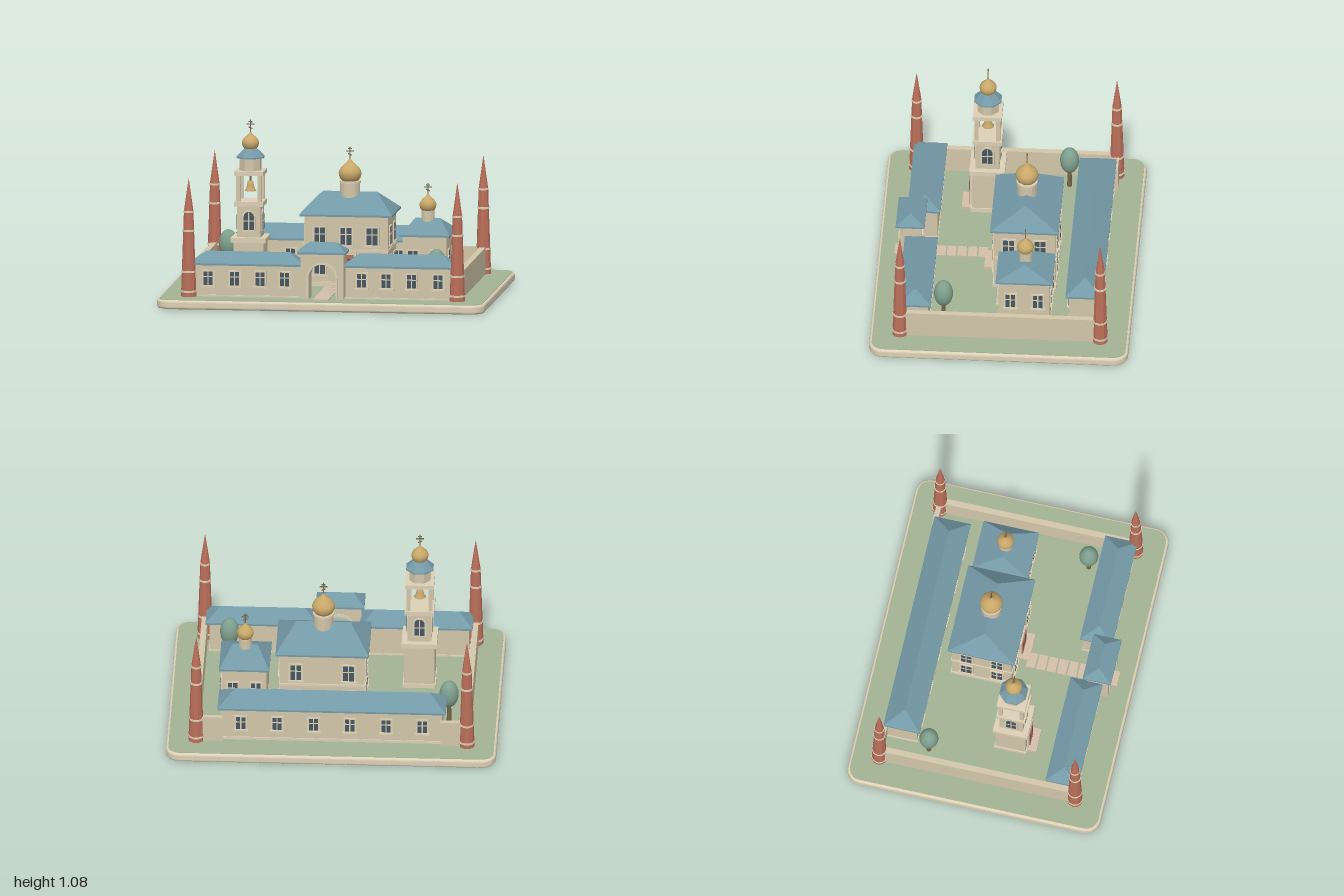
import * as THREE from 'three';

const mat = (name, color) => Object.assign(new THREE.MeshStandardMaterial({ color }), { name });
const M = {
  wall: mat('cream wall', 0xd2c6aa), trim: mat('pale trim', 0xdcd0b6), roof: mat('blue roof', 0x7499a6),
  grass: mat('grass', 0xa3b394), red: mat('red brick', 0xbb6f5a), gold: mat('gold', 0xc8a86a),
  glass: mat('dark glass', 0x46565f), leaf: mat('foliage', 0x7f9f8d), path: mat('path stone', 0xd3bfa8),
  iron: mat('dark bronze', 0x75664c),
};
const GROUND = 0.058;

function add(parent, name, geo, material, x = 0, y = 0, z = 0) {
  const mesh = new THREE.Mesh(geo, material);
  mesh.name = name;
  mesh.position.set(x, y, z);
  parent.add(mesh);
  return mesh;
}
// box given by its centre on the plan and its bottom and top heights
const box = (p, name, m, x, z, w, d, y0, y1) =>
  add(p, name, new THREE.BoxGeometry(w, y1 - y0, d), m, x, (y0 + y1) / 2, z);
function flat(geo) {
  const g = geo.index ? geo.toNonIndexed() : geo;
  g.computeVertexNormals();
  return g;
}
function prism(p, name, m, x, z, rTop, rBottom, y0, y1, sides) {
  const g = flat(new THREE.CylinderGeometry(rTop, rBottom, y1 - y0, sides).rotateY(Math.PI / sides));
  return add(p, name, g, m, x, (y0 + y1) / 2, z);
}
function group(parent, name, x = 0, z = 0) {
  const g = new THREE.Group();
  g.name = name;
  g.position.set(x, 0, z);
  parent.add(g);
  return g;
}

// hipped roof with a thin eave slab, ridge along x
function hipRoof(p, x, z, w, d, y0, y1, ridge) {
  const e = 0.012, a = w / 2, b = d / 2, h = y1 - y0 - e;
  box(p, 'eave', M.roof, x, z, w, d, y0, y0 + e);
  const A = [-a, 0, b], B = [a, 0, b], C = [a, 0, -b], D = [-a, 0, -b], R = [ridge, h, 0], L = [-ridge, h, 0];
  const g = new THREE.BufferGeometry();
  const pts = [A, B, R, A, R, L, C, D, L, C, L, R, B, C, R, D, A, L].flat();
  g.setAttribute('position', new THREE.Float32BufferAttribute(pts, 3));
  add(p, 'hipped roof', flat(g), M.roof, x, y0 + e, z);
}

// framed window facing +z, turned by angle about y
function windowUnit(p, x, y, z, angle, w = 0.068, h = 0.1) {
  const g = group(p, 'window', x, z);
  g.position.y = y;
  g.rotation.y = angle;
  const part = (name, m, px, py, pw, ph, out) =>
    add(g, name, new THREE.BoxGeometry(pw, ph, out), m, px, py, out / 2);
  part('frame', M.trim, 0, 0, w + 0.008, h, 0.008);
  part('pane', M.glass, 0, 0, w - 0.012, h - 0.018, 0.0095);
  part('mullion', M.trim, 0, 0, 0.007, h - 0.015, 0.012);
  part('transom', M.trim, 0, h * 0.1, w - 0.01, 0.006, 0.012);
  part('sill', M.trim, 0, -h / 2, w + 0.018, 0.01, 0.016);
}

// panelled double door facing +z
function door(p, x, z, w, h) {
  const g = group(p, 'door', x, z);
  box(g, 'door frame', M.trim, 0, 0.006, w + 0.026, 0.012, GROUND, GROUND + h + 0.015);
  for (const s of [-1, 1]) {
    box(g, 'door leaf', M.red, s * w / 4, 0.009, w / 2 - 0.004, 0.018, GROUND, GROUND + h);
    box(g, 'door pane', M.glass, s * w / 4, 0.0185, w / 4, 0.003, GROUND + h * 0.55, GROUND + h * 0.88);
  }
}

// onion dome with a three-barred finial
function onion(p, x, z, r, y0, y1, top) {
  const h = y1 - y0;
  const profile = [[0.62, 0], [0.88, 0.13], [1, 0.32], [0.93, 0.48], [0.68, 0.64], [0.36, 0.77], [0.14, 0.89], [0, 1]];
  const curve = new THREE.SplineCurve(profile.map(([a, b]) => new THREE.Vector2(a * r, b * h)));
  const pts = curve.getPoints(20);
  pts[20].x = 0;
  add(p, 'onion dome', new THREE.LatheGeometry(pts, 24), M.gold, x, y0, z);
  const f = top - y1;
  box(p, 'finial post', M.iron, x, z, 0.007, 0.007, y1 - 0.02, top);
  box(p, 'finial top bar', M.iron, x, z, 0.024, 0.006, top - f * 0.24, top - f * 0.24 + 0.006);
  box(p, 'finial main bar', M.iron, x, z, 0.046, 0.006, top - f * 0.46, top - f * 0.46 + 0.006);
  box(p, 'finial slanted bar', M.iron, x, z, 0.026, 0.006, top - f * 0.78, top - f * 0.78 + 0.006).rotation.z = -0.4;
}

function archPath(path, w, spring, bottom) {
  path.moveTo(-w, bottom);
  path.lineTo(-w, spring);
  path.absarc(0, spring, w, Math.PI, 0, true);
  path.lineTo(w, bottom);
  return path;
}
const extrude = (shape, depth) => new THREE.ExtrudeGeometry(shape, { depth, bevelEnabled: false, curveSegments: 16 });

function base(p) {
  const w = 0.985, d = 0.77, r = 0.075, s = new THREE.Shape();
  s.absarc(w - r, d - r, r, 0, Math.PI / 2);
  s.absarc(r - w, d - r, r, Math.PI / 2, Math.PI);
  s.absarc(r - w, r - d, r, Math.PI, 1.5 * Math.PI);
  s.absarc(w - r, r - d, r, 1.5 * Math.PI, 2 * Math.PI);
  const slab = new THREE.ExtrudeGeometry(s, { depth: 0.025, bevelSize: 0.015, bevelThickness: 0.015, bevelSegments: 4 });
  add(p, 'base slab', slab.rotateX(-Math.PI / 2), M.trim, 0, 0.015, 0);
  add(p, 'lawn', extrude(s, 0.005).rotateX(-Math.PI / 2), M.grass, 0, 0.053, 0);
}

function cornerTower(p, x, z) {
  const g = group(p, 'corner tower', x, z);
  prism(g, 'tower shaft', M.red, 0, 0, 0.029, 0.047, GROUND, 0.58, 10);
  prism(g, 'tower spire', M.red, 0, 0, 0.001, 0.029, 0.58, 0.777, 10);
  for (const [y, r] of [[0.09, 0.049], [0.21, 0.045], [0.46, 0.037], [0.575, 0.032]])
    prism(g, 'tower band', M.trim, 0, 0, r, r, y - 0.006, y + 0.006, 10);
}

function frontWing(p, s) {
  const g = group(p, 'front wing');
  box(g, 'wing wall', M.wall, s * 0.46, 0.515, 0.65, 0.16, GROUND, 0.252);
  box(g, 'wing plinth', M.trim, s * 0.46, 0.515, 0.66, 0.17, GROUND, 0.068);
  hipRoof(g, s * 0.467, 0.518, 0.684, 0.2, 0.25, 0.326, 0.255);
  for (const x of [0.235, 0.385, 0.54, 0.702]) windowUnit(g, s * x, 0.17, 0.595, 0);
}

function gate(p) {
  const g = group(p, 'gatehouse');
  const s = new THREE.Shape();
  s.moveTo(-0.13, 0.34);
  s.lineTo(-0.13, GROUND);
  s.lineTo(-0.082, GROUND);
  s.lineTo(-0.082, 0.19);
  s.absarc(0, 0.19, 0.082, Math.PI, 0, true);
  s.lineTo(0.082, GROUND);
  s.lineTo(0.13, GROUND);
  s.lineTo(0.13, 0.34);
  add(g, 'gate arch wall', extrude(s, 0.13), M.wall, 0, 0, 0.52);
  const ring = archPath(new THREE.Shape(), 0.096, 0.19, GROUND);
  ring.lineTo(0.082, GROUND);
  ring.lineTo(0.082, 0.19);
  ring.absarc(0, 0.19, 0.082, 0, Math.PI, false);
  ring.lineTo(-0.082, GROUND);
  for (const z of [0.512, 0.65]) add(g, 'arch surround', extrude(ring, 0.008), M.trim, 0, 0, z);
  hipRoof(g, -0.002, 0.585, 0.295, 0.175, 0.335, 0.402, 0.08);
}

function church(p) {
  const g = group(p, 'main church', 0.07, -0.12);
  box(g, 'church wall', M.wall, 0, 0, 0.51, 0.37, GROUND, 0.49);
  box(g, 'church plinth', M.trim, 0, 0, 0.525, 0.385, GROUND, 0.085);
  box(g, 'belt course', M.trim, 0, 0, 0.522, 0.382, 0.272, 0.286);
  hipRoof(g, 0, 0, 0.565, 0.415, 0.485, 0.615, 0.165);
  for (const y of [0.185, 0.365]) {
    for (const s of [-1, 1]) {
      windowUnit(g, s * 0.16, y, 0.185, 0, 0.078, 0.12);
      windowUnit(g, s * 0.16, y, -0.185, Math.PI, 0.078, 0.12);
      for (const z of [-0.095, 0.095]) windowUnit(g, s * 0.255, y, z, s * Math.PI / 2, 0.078, 0.12);
    }
  }
  windowUnit(g, 0, 0.365, 0.185, 0, 0.078, 0.12);
  door(g, 0, 0.19, 0.1, 0.195);
  box(g, 'porch step', M.path, 0.005, 0.215, 0.17, 0.08, GROUND, 0.075);
  prism(g, 'drum', M.wall, 0, 0, 0.061, 0.061, 0.57, 0.68, 16);
  prism(g, 'drum rim', M.trim, 0, 0, 0.065, 0.065, 0.668, 0.68, 16);
  onion(g, 0, 0, 0.069, 0.675, 0.822, 0.888);
}

function chapel(p) {
  const g = group(p, 'side chapel', 0.543, -0.14);
  box(g, 'chapel wall', M.wall, 0, 0, 0.27, 0.31, GROUND, 0.37);
  box(g, 'chapel plinth', M.trim, 0, 0, 0.282, 0.322, GROUND, 0.085);
  hipRoof(g, 0, 0, 0.305, 0.345, 0.362, 0.457, 0.075);
  for (const s of [-1, 1]) {
    windowUnit(g, s * 0.07, 0.23, 0.155, 0, 0.07, 0.11);
    windowUnit(g, s * 0.07, 0.23, -0.155, Math.PI, 0.07, 0.11);
    windowUnit(g, 0.135, 0.23, s * 0.083, Math.PI / 2, 0.07, 0.11);
  }
  prism(g, 'drum', M.wall, 0, 0, 0.04, 0.04, 0.43, 0.505, 16);
  onion(g, 0, 0, 0.051, 0.5, 0.612, 0.67);
}

function bellTower(p) {
  const g = group(p, 'bell tower', -0.502, 0.152);
  box(g, 'lower storey', M.wall, 0, 0, 0.186, 0.186, GROUND, 0.36);
  box(g, 'tower plinth', M.trim, 0, 0, 0.2, 0.2, GROUND, 0.085);
  box(g, 'lower cornice', M.trim, 0, 0, 0.214, 0.214, 0.34, 0.37);
  box(g, 'middle storey', M.wall, 0, 0, 0.144, 0.144, 0.37, 0.57);
  box(g, 'middle cornice', M.trim, 0, 0, 0.178, 0.178, 0.56, 0.588);
  door(g, 0, 0.093, 0.085, 0.2);
  box(g, 'tower step', M.path, 0, 0.125, 0.15, 0.06, GROUND, 0.075);
  // arched openings on each face of the middle storey
  for (let i = 0; i < 4; i++) {
    const face = group(g, 'arched window');
    face.rotation.y = i * Math.PI / 2;
    add(face, 'arch frame', extrude(archPath(new THREE.Shape(), 0.042, 0.495, 0.405), 0.006), M.trim, 0, 0, 0.072);
    add(face, 'arch pane', extrude(archPath(new THREE.Shape(), 0.031, 0.495, 0.415), 0.008), M.glass, 0, 0, 0.072);
    box(face, 'arch mullion', M.trim, 0, 0.077, 0.006, 0.01, 0.415, 0.524);
    box(face, 'arch transom', M.trim, 0, 0.077, 0.062, 0.01, 0.468, 0.474);
  }
  for (const x of [-1, 1]) for (const z of [-1, 1])
    box(g, 'belfry post', M.wall, x * 0.066, z * 0.066, 0.024, 0.024, 0.588, 0.75);
  box(g, 'belfry cornice', M.trim, 0, 0, 0.176, 0.176, 0.747, 0.772);
  const bell = [[0.001, 0.062], [0.017, 0.06], [0.021, 0.035], [0.026, 0.015], [0.036, 0], [0.03, 0], [0.001, 0.05]];
  const bellMesh = add(g, 'bell', new THREE.LatheGeometry(bell.reverse().map(([a, b]) => new THREE.Vector2(a, b)), 20), M.gold, 0, 0.645, 0);
  bellMesh.name = 'bell';
  box(g, 'bell hanger', M.iron, 0, 0, 0.01, 0.01, 0.7, 0.75);
  prism(g, 'octagon storey', M.wall, 0, 0, 0.068, 0.068, 0.772, 0.855, 8);
  prism(g, 'octagon eave', M.roof, 0, 0, 0.089, 0.089, 0.848, 0.856, 8);
  prism(g, 'octagon roof', M.roof, 0, 0, 0.04, 0.089, 0.856, 0.905, 8);
  onion(g, 0, 0, 0.052, 0.9, 1.012, 1.08);
}

function backWing(p) {
  const g = group(p, 'back wing');
  box(g, 'wing wall', M.wall, 0, -0.503, 1.34, 0.185, GROUND, 0.275);
  box(g, 'wing plinth', M.trim, 0, -0.503, 1.35, 0.195, GROUND, 0.075);
  hipRoof(g, 0, -0.503, 1.382, 0.225, 0.268, 0.36, 0.59);
  for (let i = 0; i < 6; i++) {
    windowUnit(g, -0.55 + i * 0.22, 0.175, -0.5955, Math.PI);
    windowUnit(g, -0.55 + i * 0.22, 0.175, -0.4105, 0);
  }
}

export function createModel() {
  const root = new THREE.Group();
  root.name = 'walled monastery';
  base(root);
  for (const s of [-1, 1]) {
    for (const z of [-0.61, 0.605]) cornerTower(root, s * 0.82, z);
    box(root, 'side wall', M.wall, s * 0.82, 0, 0.036, 1.2, GROUND, 0.222);
    box(root, 'back wall', M.wall, s * 0.74, -0.61, 0.16, 0.03, GROUND, 0.222);
    frontWing(root, s);
  }
  gate(root);
  church(root);
  chapel(root);
  bellTower(root);
  backWing(root);
  // paving slabs from the gate to the church
  for (let i = 0; i < 9; i++) box(root, 'path slab', M.path, -0.003, 0.15 + i * 0.0638, 0.095, 0.055, GROUND, 0.065);
  for (const [x, z] of [[-0.7, -0.33], [0.66, 0.35]]) {
    const tree = group(root, 'tree', x, z);
    add(tree, 'foliage', new THREE.SphereGeometry(0.058, 20, 14).scale(1, 1.5, 1), M.leaf, 0, 0.252, 0);
    add(tree, 'trunk', new THREE.CylinderGeometry(0.012, 0.015, 0.13, 8), M.iron, 0, 0.12, 0);
  }
  return root;
}
